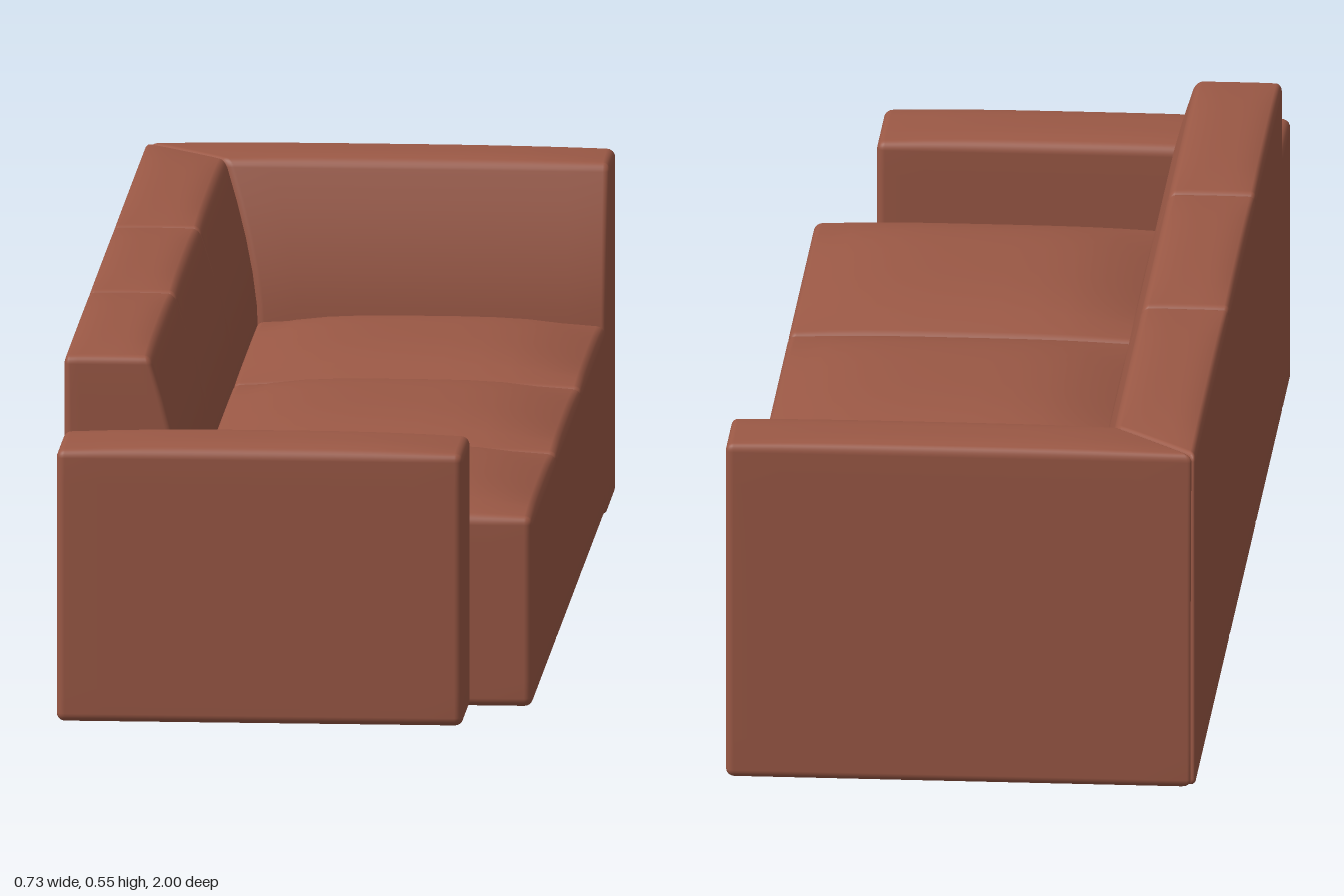
import * as THREE from 'three';
import { mergeVertices } from 'three/addons/utils/BufferGeometryUtils.js';

const SEG = 16;       // divisions per side of a cushion
const CORNER = 3;     // of which this many lie in each rounded edge
const T = 0.188;      // thickness of a backrest at seat level

// Position along one side: fine steps in the rounded edges, even steps between.
function spread(i, half, r) {
  if (i <= CORNER) return -half + (r * i) / CORNER;
  if (i >= SEG - CORNER) return half - (r * (SEG - i)) / CORNER;
  return -half + r + (2 * (half - r) * (i - CORNER)) / (SEG - 2 * CORNER);
}

// Rounded block between two corners, with a domed top and an optional warp rule.
function cushion(name, material, min, max, dome, warp) {
  const r = 0.013;
  const lo = new THREE.Vector3(...min);
  const hi = new THREE.Vector3(...max);
  const half = hi.clone().sub(lo).multiplyScalar(0.5);
  const centre = hi.clone().add(lo).multiplyScalar(0.5);
  const inner = half.clone().subScalar(r);
  const outer = inner.clone().negate();
  let geo = new THREE.BoxGeometry(1, 1, 1, SEG, SEG, SEG);
  geo.deleteAttribute('uv');
  geo.deleteAttribute('normal');
  const pos = geo.attributes.position;
  const p = new THREE.Vector3();
  const core = new THREE.Vector3();
  for (let i = 0; i < pos.count; i++) {
    p.fromBufferAttribute(pos, i);
    for (const a of ['x', 'y', 'z']) p[a] = spread(Math.round((p[a] + 0.5) * SEG), half[a], r);
    core.copy(p).clamp(outer, inner);
    p.sub(core).setLength(r).add(core);
    if (p.y > 0) {
      const u = Math.abs(p.x / half.x);
      const v = Math.abs(p.z / half.z);
      p.y += dome * Math.max(0, 1 - u ** 3.5) * Math.max(0, 1 - v ** 3.5);
    }
    p.add(centre);
    if (warp) warp(p);
    pos.setXYZ(i, p.x, p.y, p.z);
  }
  geo = mergeVertices(geo, 1e-5);
  geo.computeVertexNormals();
  const mesh = new THREE.Mesh(geo, material);
  mesh.name = name;
  return mesh;
}

// Backrest thickness narrows in a curve above the seat.
function thickness(y) {
  const s = THREE.MathUtils.clamp((y - 0.3) / 0.25, 0, 1);
  return T - 0.056 * s ** 1.6;
}

export function createModel() {
  const sofa = new THREE.Group();
  sofa.name = 'sofa';
  const fabric = new THREE.MeshStandardMaterial({ color: 0x9a5845 });
  fabric.name = 'rust fabric';

  const X = 0.364;      // half depth of the sofa
  const TOP = 0.547;    // height of the backrests
  const modules = [[0.276, 0.826], [-0.279, 0.272], [-1, -0.283]];

  modules.forEach(([z0, z1], i) => {
    const corner = i === 2;
    // Seat block
    const seatStart = corner ? z0 + T - 0.004 : z0;
    sofa.add(cushion('seat' + (i + 1), fabric,
      [-X + T - 0.004, 0.004, seatStart], [X - 0.003, 0.302, z1], 0.038));
    // Backrest, the last one mitred at its corner
    sofa.add(cushion('backrest' + (i + 1), fabric, [-X, 0.004, z0], [-X + T, TOP, z1], 0.008, (p) => {
      const d = ((p.x + X) / T) * thickness(p.y);
      p.x = -X + d;
      if (corner) p.z += d * (z1 - p.z) / (z1 - z0);
    }));
  });

  // High side at the far end, mitred against the last backrest
  sofa.add(cushion('highSide', fabric, [-X, 0.004, -1], [X, TOP, -1 + T], 0.008, (p) => {
    const d = ((p.z + 1) / T) * thickness(p.y);
    p.z = -1 + d;
    p.x += d * (X - p.x) / (2 * X);
  }));

  // Low armrest at the near end
  sofa.add(cushion('lowArmrest', fabric, [-X, 0.004, 0.83], [0.265, 0.431, 1], 0.012));

  return sofa;
}
